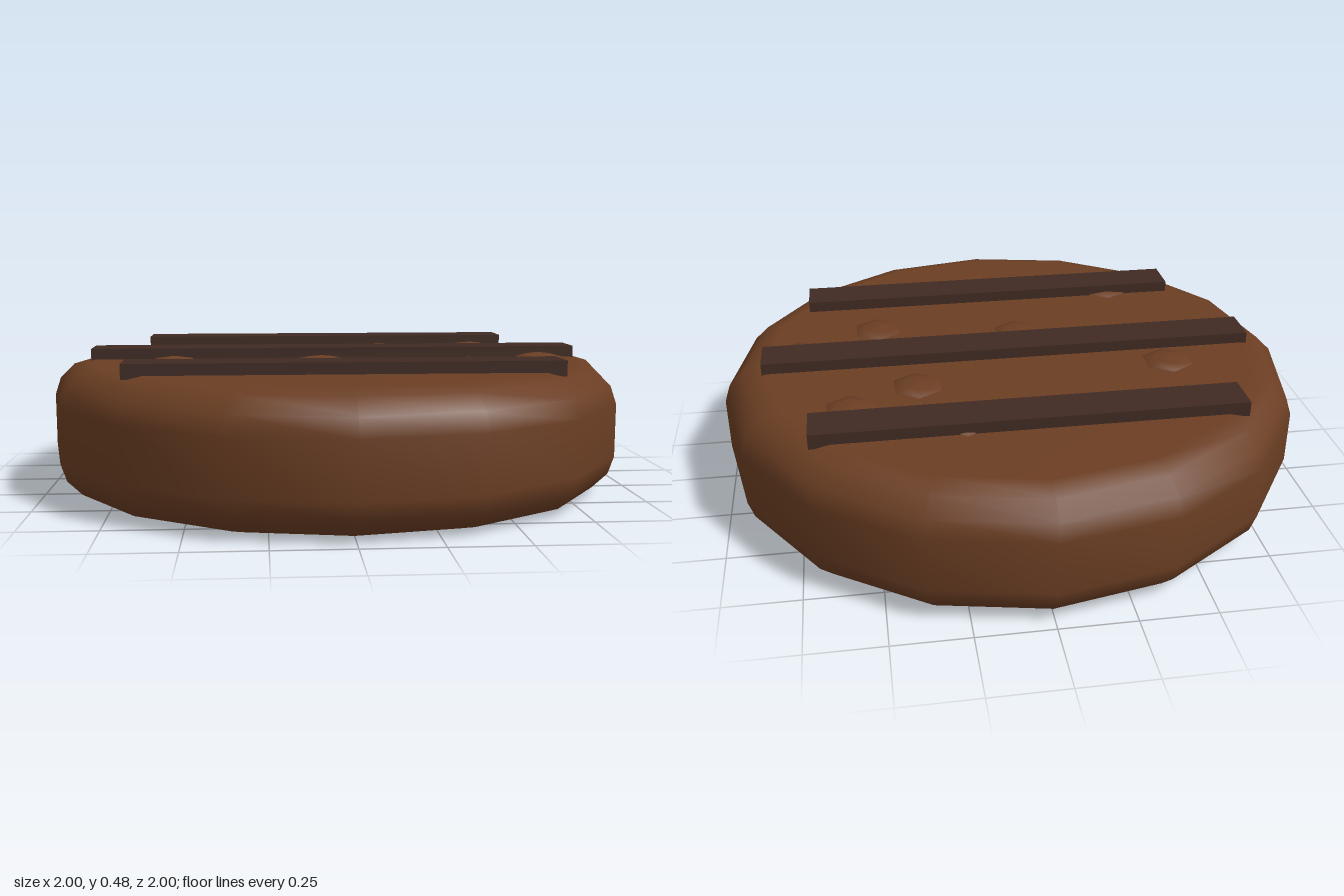
import * as THREE from 'three';

const pattyBrown = new THREE.MeshStandardMaterial({ name: 'patty brown', color: 0x6b3e23 });
const charBrown = new THREE.MeshStandardMaterial({ name: 'char brown', color: 0x402b23 });

// Solid of revolution from [radius, height] pairs, listed bottom to top
function turned(points, sides) {
  return new THREE.LatheGeometry(points.map(([r, y]) => new THREE.Vector2(r, y)), sides);
}

export function createModel() {
  const group = new THREE.Group();
  group.name = 'grilledPatty';

  const add = (name, geometry, material, x = 0, y = 0, z = 0) => {
    const mesh = new THREE.Mesh(geometry, material);
    mesh.name = name;
    mesh.position.set(x, y, z);
    group.add(mesh);
  };

  // Round patty with softened rims
  add('patty', turned([
    [0, 0], [0.86, 0], [0.93, 0.02], [0.98, 0.07], [1, 0.13],
    [1, 0.31], [0.98, 0.37], [0.93, 0.42], [0.86, 0.44], [0, 0.44],
  ], 16), pattyBrown);

  // Grill marks across the top
  for (const [z, length] of [[-0.5, 1.4], [0, 1.72], [0.5, 1.4]]) {
    add('grillMark', new THREE.BoxGeometry(length, 0.05, 0.14), charBrown, 0, 0.453, z);
  }

  // Low six-sided lumps in the surface
  const lump = turned([[0.09, -0.01], [0.088, 0.004], [0.05, 0.012], [0, 0.018]], 6);
  const spots = [
    [-0.54, -0.17], [-0.57, 0.02], [-0.055, 0.14], [0.34, -0.23], [0.565, -0.36],
    [0.73, 0.075], [0.45, 0.23], [-0.46, 0.48], [0.21, -0.495],
  ];
  for (const [x, z] of spots) add('surfaceLump', lump, pattyBrown, x, 0.44, z);

  return group;
}
